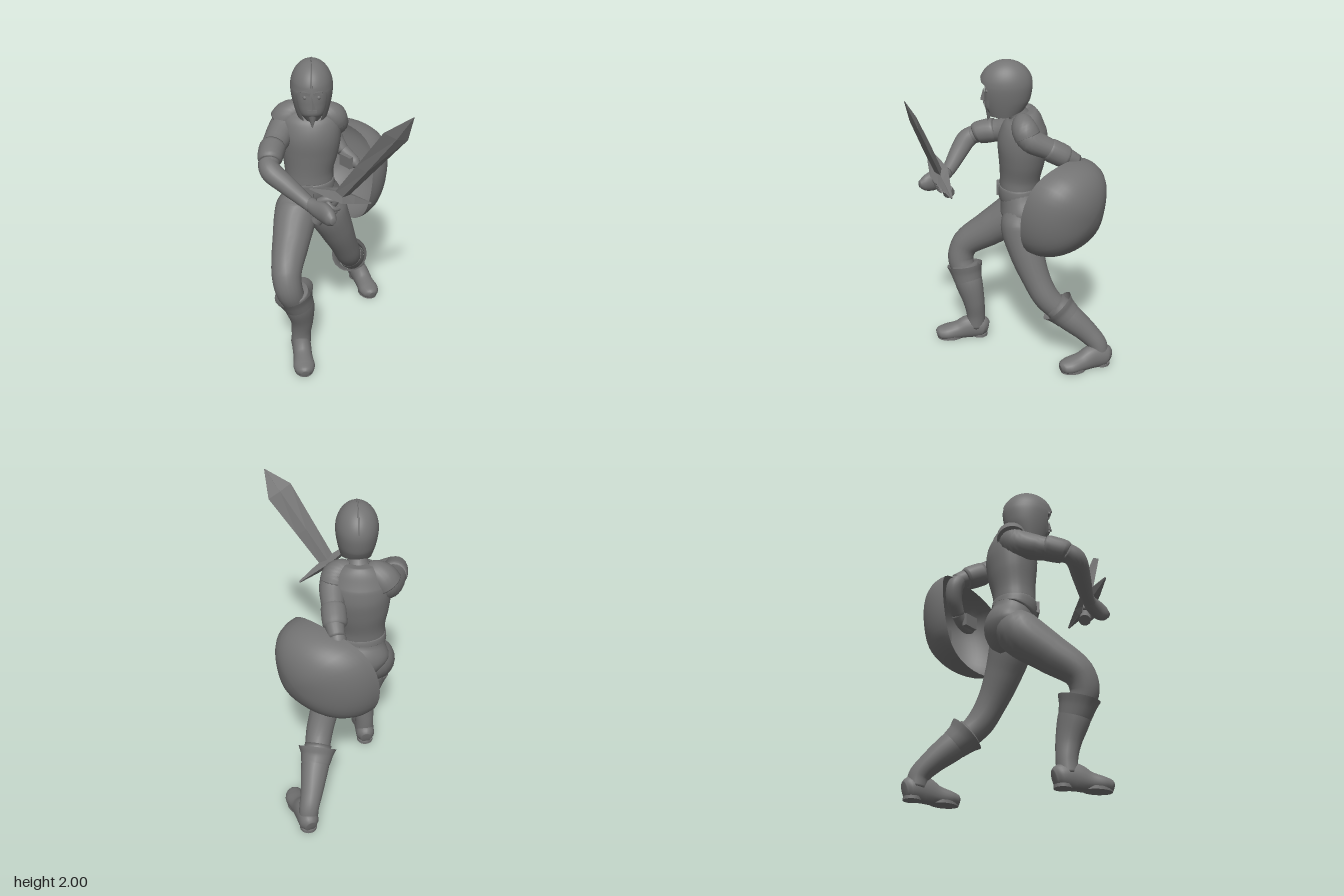
import * as THREE from 'three';

const V = (x, y, z) => new THREE.Vector3(x, y, z);
const smooth = new THREE.MeshStandardMaterial({ color: 0x747474, side: THREE.DoubleSide });
const faceted = new THREE.MeshStandardMaterial({ color: 0x747474, flatShading: true });

function mesh(name, geo, parent, mat = smooth) {
  const m = new THREE.Mesh(geo, mat);
  m.name = name;
  parent.add(m);
  return m;
}

// Indexed surface from rings of equal length
function skin(rings, closed = true) {
  const n = rings[0].length, pos = [], idx = [];
  rings.forEach(r => r.forEach(p => pos.push(p.x, p.y, p.z)));
  for (let i = 0; i < rings.length - 1; i++) {
    for (let j = 0; j < (closed ? n : n - 1); j++) {
      const k = (j + 1) % n, a = i * n + j, b = i * n + k, c = a + n, d = b + n;
      idx.push(a, b, d, a, d, c);
    }
  }
  const g = new THREE.BufferGeometry();
  g.setAttribute('position', new THREE.Float32BufferAttribute(pos, 3));
  g.setIndex(idx);
  g.computeVertexNormals();
  return g;
}

// Elliptical loft through sections [x, y, z, radiusA, radiusB]
function limb(pts, { sides = 20, ref = V(0, 0, 1), cap = true, steps = 6, floor = false } = {}) {
  const path = new THREE.CatmullRomCurve3(pts.map(p => V(p[0], p[1], p[2])));
  const size = new THREE.CatmullRomCurve3(pts.map(p => V(p[3], p[4] ?? p[3], 0)), false, 'catmullrom', 0.5);
  const n = (pts.length - 1) * steps, rings = [];
  const ring = (t, k) => {
    const c = path.getPoint(t), tan = path.getTangent(t), s = size.getPoint(t);
    const e1 = ref.clone().cross(tan).normalize(), e2 = tan.clone().cross(e1);
    return Array.from({ length: sides }, (_, j) => {
      const a = j / sides * Math.PI * 2;
      const p = c.clone().addScaledVector(e1, Math.cos(a) * s.x * k).addScaledVector(e2, Math.sin(a) * s.y * k);
      if (floor) p.y = Math.max(p.y, 0);
      return p;
    });
  };
  if (cap) rings.push(ring(0, 0));
  for (let i = 0; i <= n; i++) rings.push(ring(i / n, 1));
  if (cap) rings.push(ring(1, 0));
  return skin(rings);
}

function turned(name, parent, x, z, yaw) {
  const g = new THREE.Group();
  g.name = name;
  g.position.set(x, 0, z);
  g.rotation.y = yaw;
  parent.add(g);
  return g;
}

function buildTorso(root) {
  const g = turned('torso', root, -0.25, 0.08, Math.PI / 4);
  mesh('pelvis', limb([[0, 0.86, 0, 0.05, 0.07], [0, 0.93, -0.015, 0.148, 0.128], [0, 1.01, -0.015, 0.197, 0.154],
    [-0.005, 1.1, 0.005, 0.165, 0.135], [-0.014, 1.18, 0.015, 0.142, 0.122]], { sides: 28 }), g);
  mesh('tunic', limb([[-0.014, 1.16, 0.015, 0.152, 0.128], [-0.012, 1.24, 0.01, 0.153, 0.132], [-0.005, 1.36, 0, 0.178, 0.15],
    [0, 1.47, -0.005, 0.19, 0.16], [0, 1.56, -0.012, 0.185, 0.142], [0, 1.62, -0.015, 0.15, 0.108],
    [0, 1.665, -0.008, 0.09, 0.08]], { sides: 28 }), g);
  mesh('belt', limb([[-0.012, 1.115, 0.01, 0.153, 0.13], [-0.012, 1.12, 0.012, 0.163, 0.14], [-0.014, 1.17, 0.014, 0.158, 0.135],
    [-0.014, 1.175, 0.014, 0.148, 0.126]], { sides: 28, steps: 3 }), g);
  mesh('buckle', new THREE.BoxGeometry(0.085, 0.075, 0.025), g, faceted).position.set(-0.02, 1.14, 0.15);
  mesh('neck', limb([[-0.245, 1.6, 0.075, 0.08], [-0.215, 1.67, 0.095, 0.06], [-0.18, 1.76, 0.12, 0.062]]), root);
}

function buildHead(root) {
  const g = turned('head', root, -0.162, 0.135, 0.86);
  mesh('face', limb([[0, 1.64, 0.07, 0.03, 0.035], [0, 1.68, 0.055, 0.07, 0.08], [0, 1.75, 0.04, 0.092, 0.095],
    [0, 1.82, 0.03, 0.1, 0.1], [0, 1.9, 0.015, 0.09, 0.1]]), g);
  const nose = mesh('nose', new THREE.ConeGeometry(0.02, 0.075, 4), g, faceted);
  nose.position.set(0, 1.785, 0.14);
  const beard = mesh('beard', new THREE.ConeGeometry(0.034, 0.09, 10), g);
  beard.position.set(0, 1.655, 0.105);
  beard.rotation.x = Math.PI - 0.2;
  for (const s of [-1, 1]) {
    const eye = mesh('eye', new THREE.SphereGeometry(0.012, 10, 8), g);
    eye.position.set(s * 0.04, 1.812, 0.118);
    const brow = mesh('brow', new THREE.BoxGeometry(0.055, 0.018, 0.025), g, faceted);
    brow.position.set(s * 0.036, 1.84, 0.12);
    brow.rotation.z = s * 0.2;
  }
  const lips = mesh('moustache', new THREE.BoxGeometry(0.055, 0.014, 0.025), g, faceted);
  lips.position.set(0, 1.73, 0.128);

  // Helmet: the front opening widens under the brow and closes in at the cheek guards
  const rings = [];
  for (let i = 0; i <= 24; i++) {
    const v = i / 24, y = 1.998 - 0.345 * v * v ** 0.4;
    const r = y > 1.84 ? Math.sqrt(Math.max(0, 1 - ((y - 1.84) / 0.158) ** 2)) : 1 - 0.3 * ((1.84 - y) / 0.19) ** 1.6;
    const open = 0.78 * THREE.MathUtils.smoothstep(1.89 - y, 0, 0.05) - 0.2 * THREE.MathUtils.smoothstep(1.76 - y, 0, 0.1);
    rings.push(Array.from({ length: 41 }, (_, j) => {
      const a = open + (Math.PI * 2 - 2 * open) * j / 40;
      const lift = y < 1.75 && Math.cos(a) < 0 ? -0.4 * Math.cos(a) * (1.75 - y) : 0;
      return V(Math.sin(a) * 0.126 * r, y + lift, Math.cos(a) * 0.164 * r);
    }));
  }
  mesh('helmet', skin(rings.reverse(), false), g);
  const arc = Array.from({ length: 15 }, (_, i) => {
    const a = 0.3 + i / 14 * 2.6;
    return V(0, 1.84 + Math.sin(a) * 0.156, Math.cos(a) * 0.163);
  });
  mesh('helmetCrest', new THREE.TubeGeometry(new THREE.CatmullRomCurve3(arc), 30, 0.005, 6), g);
}

function buildLeg(root, side, thigh, boot, cuff, heel, yaw) {
  mesh(side + 'Thigh', limb(thigh), root);
  mesh(side + 'Boot', limb(boot), root);
  mesh(side + 'BootCuff', limb(cuff, { cap: false }), root);
  const foot = turned(side + 'Foot', root, heel[0], heel[1], yaw);
  const opts = { ref: V(0, 1, 0), floor: true };
  mesh(side + 'Shoe', limb([[0, 0.055, -0.065, 0.035, 0.05], [0, 0.065, -0.03, 0.062, 0.075], [0, 0.07, 0.06, 0.062, 0.085],
    [0, 0.05, 0.14, 0.062, 0.065], [0, 0.04, 0.22, 0.07, 0.052], [0, 0.035, 0.27, 0.052, 0.042], [0, 0.03, 0.29, 0.022, 0.028]], opts), foot);
  for (const [z, r, l] of [[-0.012, 0.054, 1], [0.195, 0.064, 1.4]]) {
    const sole = mesh(side + 'Sole', new THREE.CylinderGeometry(r, r, 0.02, 20), foot);
    sole.position.set(0, 0.01, z);
    sole.scale.z = l;
  }
}

function buildArm(root, side, pad, upper, sleeve, fore) {
  mesh(side + 'ShoulderPad', limb(pad), root);
  mesh(side + 'UpperArm', limb(upper), root);
  mesh(side + 'SleeveCuff', limb(sleeve, { steps: 3 }), root);
  mesh(side + 'Forearm', limb(fore), root);
}

function buildSword(root) {
  const pommel = V(0.13, 1.14, 0.36), tip = V(0.64, 1.91, 0.11);
  const up = tip.clone().sub(pommel).normalize(), across = V(-0.11, 0.2, 0.36);
  across.addScaledVector(up, -across.dot(up)).normalize();
  const g = new THREE.Group();
  g.name = 'sword';
  g.applyMatrix4(new THREE.Matrix4().makeBasis(across, up, across.clone().cross(up)).setPosition(pommel));
  root.add(g);
  const cut = { sides: 4, steps: 1 };
  mesh('blade', limb([[0, 0.24, 0, 0.05, 0.024], [0, 0.5, 0, 0.066, 0.026], [0, 0.79, 0, 0.085, 0.022],
    [0, 0.957, 0, 0.002, 0.002]], cut), g, faceted);
  mesh('guard', limb([[-0.225, 0.24, 0, 0.006], [-0.09, 0.24, 0, 0.025, 0.04], [0, 0.24, 0, 0.03, 0.06],
    [0.09, 0.24, 0, 0.025, 0.04], [0.215, 0.24, 0, 0.006]], cut), g, faceted);
  mesh('grip', new THREE.CylinderGeometry(0.025, 0.025, 0.24, 12), g).position.y = 0.13;
  mesh('pommel', new THREE.CylinderGeometry(0.034, 0.038, 0.05, 12), g).position.y = 0.015;
  // Fingers wrapped round the grip
  for (let i = 0; i < 4; i++) {
    const pts = Array.from({ length: 6 }, (_, k) => {
      const a = 0.9 - k * 0.65;
      return V(Math.cos(a) * 0.042, 0.08 + i * 0.03, Math.sin(a) * 0.046);
    });
    mesh('finger', new THREE.TubeGeometry(new THREE.CatmullRomCurve3(pts), 12, 0.015, 8), g);
  }
}

function buildShield(root) {
  const g = new THREE.Group();
  g.name = 'shield';
  g.position.set(-0.312, 1.087, -0.182);
  root.add(g);
  // Squared-off dome with a tilted, slightly saddle-shaped rim
  const point = (a, t) => {
    const c = Math.cos(a), s = Math.sin(a), q = (c ** 4 + s ** 4) ** -0.12;
    const X = c * q * Math.sin(t), Y = s * q * Math.sin(t);
    const dome = 0.312 * Math.max(0, Math.cos(t)) ** 0.9;
    return V(X * 0.333, Y * 0.315, -0.035 * X - 0.05 * Y + 0.025 * (X * X - Y * Y) - dome);
  };
  const ring = t => Array.from({ length: 40 }, (_, j) => point(j / 40 * Math.PI * 2, t));
  mesh('shieldDome', skin(Array.from({ length: 19 }, (_, i) => ring(i / 18 * Math.PI / 2))), g);
  const strap = (x, y, z) => mesh('strap', new THREE.BoxGeometry(0.1, 0.08, 0.03), g, faceted).position.set(x, y, z);
  strap(-0.17, -0.1, -0.08);
  strap(0.04, 0.06, -0.06);
}

export function createModel() {
  const root = new THREE.Group();
  root.name = 'warrior';
  buildTorso(root);
  buildHead(root);

  buildLeg(root, 'right',
    [[-0.31, 1.06, 0.11, 0.09], [-0.295, 0.95, 0.165, 0.138], [-0.19, 0.81, 0.31, 0.12], [-0.08, 0.68, 0.445, 0.095], [-0.045, 0.58, 0.46, 0.087], [-0.045, 0.48, 0.42, 0.08]],
    [[-0.045, 0.54, 0.42, 0.09], [-0.045, 0.42, 0.38, 0.09, 0.1], [-0.06, 0.28, 0.348, 0.072, 0.078], [-0.075, 0.17, 0.345, 0.064], [-0.075, 0.08, 0.35, 0.064]],
    [[-0.045, 0.43, 0.385, 0.092, 0.1], [-0.045, 0.49, 0.405, 0.1, 0.115], [-0.045, 0.54, 0.42, 0.113, 0.135]],
    [-0.09, 0.34], 0.96);
  buildLeg(root, 'left',
    [[-0.19, 1.05, 0.01, 0.09], [-0.18, 0.94, 0.015, 0.13], [-0.17, 0.77, -0.05, 0.114], [-0.18, 0.6, -0.13, 0.092], [-0.21, 0.47, -0.2, 0.085], [-0.28, 0.36, -0.285, 0.075]],
    [[-0.245, 0.42, -0.24, 0.085], [-0.3, 0.34, -0.315, 0.09], [-0.38, 0.23, -0.415, 0.072], [-0.42, 0.15, -0.475, 0.063], [-0.425, 0.08, -0.488, 0.063]],
    [[-0.3, 0.34, -0.315, 0.092], [-0.275, 0.378, -0.28, 0.103], [-0.255, 0.41, -0.255, 0.122]],
    [-0.43, -0.497], 1.2);

  buildArm(root, 'right',
    [[-0.28, 1.62, 0.11, 0.05], [-0.32, 1.612, 0.13, 0.075], [-0.36, 1.58, 0.16, 0.09], [-0.38, 1.54, 0.18, 0.092]],
    [[-0.33, 1.6, 0.14, 0.07], [-0.36, 1.53, 0.18, 0.09], [-0.3, 1.475, 0.31, 0.078], [-0.22, 1.45, 0.42, 0.064], [-0.16, 1.42, 0.475, 0.055]],
    [[-0.275, 1.475, 0.35, 0.072], [-0.26, 1.467, 0.37, 0.08], [-0.2, 1.445, 0.44, 0.074], [-0.185, 1.435, 0.455, 0.06]],
    [[-0.2, 1.44, 0.46, 0.055], [-0.14, 1.405, 0.485, 0.064], [-0.04, 1.345, 0.455, 0.058], [0.07, 1.275, 0.415, 0.045], [0.13, 1.245, 0.4, 0.04]]);
  mesh('rightHand', limb([[0.1, 1.26, 0.405, 0.04], [0.16, 1.245, 0.395, 0.055, 0.042], [0.23, 1.24, 0.39, 0.065, 0.042],
    [0.29, 1.235, 0.4, 0.05, 0.036], [0.325, 1.235, 0.41, 0.02, 0.018]]), root);
  mesh('rightThumb', limb([[0.16, 1.28, 0.38, 0.024], [0.2, 1.305, 0.35, 0.022], [0.24, 1.3, 0.31, 0.015]]), root);

  buildArm(root, 'left',
    [[-0.22, 1.62, 0.04, 0.05], [-0.185, 1.612, 0.005, 0.07], [-0.165, 1.585, -0.03, 0.082], [-0.17, 1.545, -0.05, 0.084]],
    [[-0.18, 1.6, -0.02, 0.07], [-0.17, 1.54, -0.055, 0.08], [-0.255, 1.475, -0.135, 0.068], [-0.345, 1.42, -0.205, 0.058], [-0.41, 1.375, -0.245, 0.048]],
    [[-0.26, 1.47, -0.135, 0.066], [-0.275, 1.46, -0.148, 0.074], [-0.345, 1.415, -0.2, 0.072], [-0.36, 1.405, -0.21, 0.058]],
    [[-0.38, 1.405, -0.225, 0.046], [-0.415, 1.345, -0.245, 0.053], [-0.4, 1.26, -0.265, 0.05], [-0.34, 1.18, -0.28, 0.04]]);
  mesh('leftHand', limb([[-0.35, 1.19, -0.28, 0.04], [-0.29, 1.15, -0.285, 0.05, 0.04], [-0.23, 1.13, -0.285, 0.042, 0.036], [-0.2, 1.12, -0.285, 0.018]]), root);

  buildSword(root);
  buildShield(root);
  return root;
}
